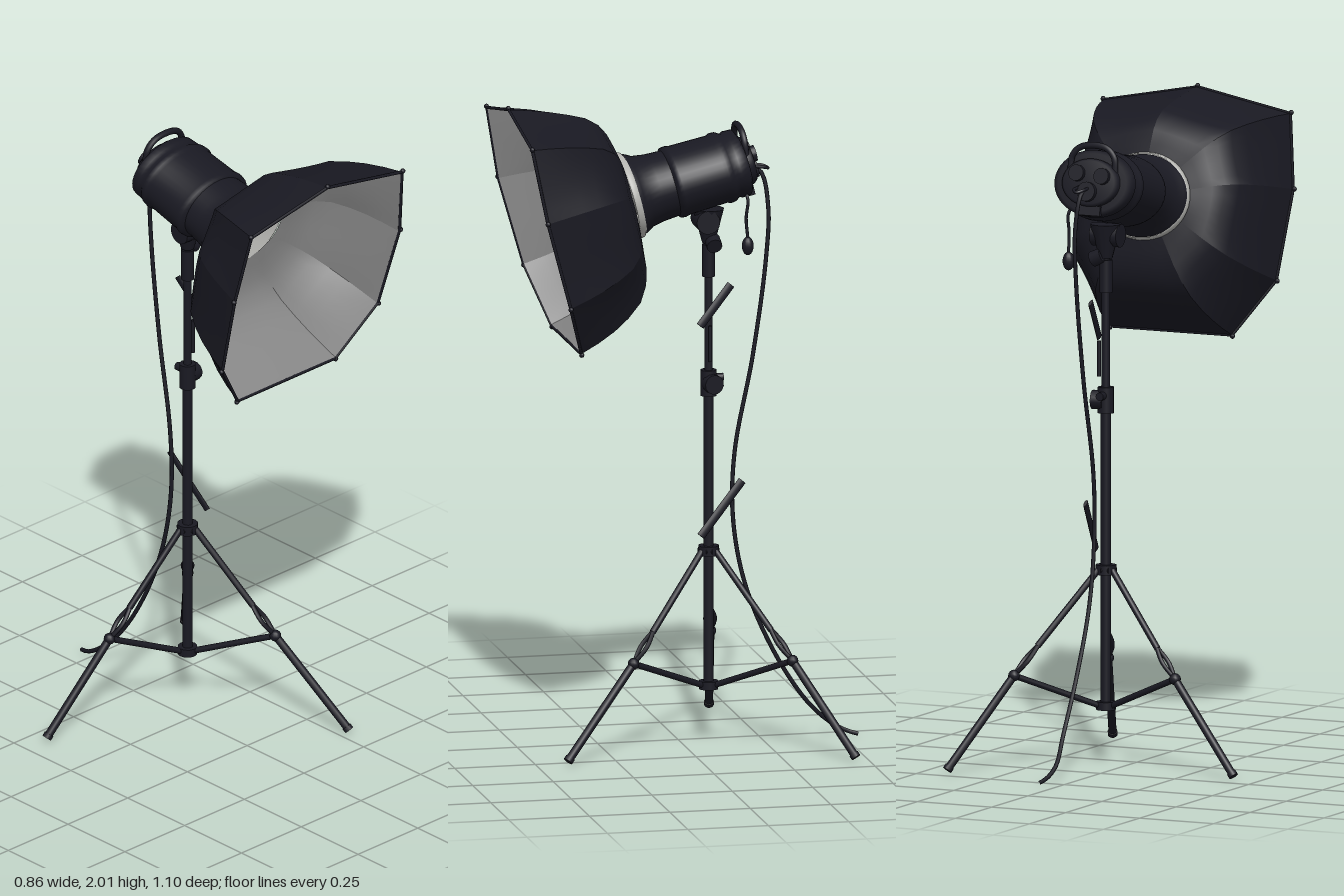
import * as THREE from 'three';

const V = (x, y, z) => new THREE.Vector3(x, y, z);

export function createModel() {
  const model = new THREE.Group();
  const mat = (name, color) => {
    const m = new THREE.MeshStandardMaterial({ color });
    m.name = name;
    return m;
  };
  const black = mat('charcoal black', 0x191922);
  const silver = mat('silver fabric', 0x858585);
  const light = mat('pale reflector', 0xb4b4b0);
  light.side = THREE.DoubleSide;

  const add = (name, geo, material = black, parent = model) => {
    const mesh = new THREE.Mesh(geo, material);
    mesh.name = name;
    parent.add(mesh);
    return mesh;
  };
  // Cylinder between two points
  const rod = (name, a, b, r, r2 = r, sides = 12) => {
    const d = b.clone().sub(a);
    const m = add(name, new THREE.CylinderGeometry(r2, r, d.length(), sides));
    m.position.copy(a).add(b).multiplyScalar(0.5);
    m.quaternion.setFromUnitVectors(V(0, 1, 0), d.normalize());
    return m;
  };
  const tube = (name, pts, r, parent = model) =>
    add(name, new THREE.TubeGeometry(new THREE.CatmullRomCurve3(pts), 80, r, 8), black, parent);

  // ---- Stand: pole, collars and clamp ----
  const PX = 0.065, PZ = -0.08;
  const P = (y) => V(PX, y, PZ);
  rod('lowerPole', P(0.18), P(1.12), 0.016);
  rod('upperPole', P(1.1), P(1.62), 0.013);
  rod('upperHub', P(0.585), P(0.615), 0.032);
  rod('lowerHub', P(0.17), P(0.195), 0.03);
  rod('poleClamp', P(1.08), P(1.16), 0.025);
  rod('clampKnob', V(0.07, 1.12, -0.085), V(0.105, 1.12, -0.09), 0.03);
  rod('clampScrew', V(0.065, 1.135, -0.09), V(0.065, 1.135, -0.125), 0.013);
  rod('poleSocket', P(1.45), P(1.55), 0.02);
  rod('tiltMount', P(1.555), P(1.66), 0.02, 0.048);
  rod('tiltPivot', V(0.02, 1.625, -0.07), V(0.11, 1.625, -0.07), 0.036, 0.036, 20);
  rod('tiltKnob', V(0.07, 1.565, -0.09), V(0.105, 1.55, -0.09), 0.024);
  rod('smallStub', V(0.088, 1.19, PZ), V(0.088, 1.3, PZ), 0.006);

  // Slanting cable straps beside the pole
  for (const [a, b] of [
    [V(0.115, 0.655, -0.045), V(0.085, 0.815, -0.18)],
    [V(0.105, 1.305, -0.045), V(0.085, 1.425, -0.145)],
  ]) rod('cableStrap', a, b, 0.013).scale.x = 0.4;

  // ---- Tripod legs with forks and braces: [foot, joint] ----
  const legs = [
    [V(-0.42, 0.013, -0.19), V(-0.2, 0.29, -0.145)],
    [V(0.415, 0.013, -0.46), V(0.27, 0.29, -0.295)],
    [V(0.28, 0.013, 0.405), V(0.185, 0.285, 0.18)],
  ];
  for (const [foot, joint] of legs) {
    const out = V(foot.x - PX, 0, foot.z - PZ).normalize();
    const side = V(-out.z, 0, out.x);
    const top = P(0.6).addScaledVector(out, 0.025);
    const upper = (t) => top.clone().lerp(joint, t);
    rod('upperLeg', top, upper(0.72), 0.01);
    rod('lowerLeg', joint, foot, 0.0125);
    rod('foot', joint.clone().lerp(foot, 0.96), foot, 0.015);
    for (const s of [-1, 1]) {
      tube('legFork', [upper(0.7), upper(0.85).addScaledVector(side, s * 0.014), joint], 0.007);
      rod('hubLug', P(0.6).addScaledVector(side, s * 0.012), top.clone().addScaledVector(side, s * 0.012), 0.011);
    }
    add('legJoint', new THREE.SphereGeometry(0.018, 12, 8)).position.copy(joint);
    rod('brace', P(0.183).addScaledVector(out, 0.02), joint, 0.0095);
  }

  // ---- Lamp head, local +z points along the beam ----
  const CX = 0.06;
  const ringC = V(CX, 1.712, 0.165);
  const head = new THREE.Group();
  head.name = 'lampHead';
  head.position.copy(ringC);
  head.rotation.x = 0.245;
  model.add(head);
  const lathe = (name, pts, squash, material = black) => {
    const g = new THREE.LatheGeometry(pts.map(([r, z]) => new THREE.Vector2(r, z)), 40);
    g.rotateX(Math.PI / 2).scale(1, squash, 1);
    return add(name, g, material, head);
  };
  lathe('lampBody', [[0, -0.362], [0.115, -0.362], [0.13, -0.355], [0.132, -0.33], [0.126, -0.32],
    [0.138, -0.305], [0.14, -0.29], [0.134, -0.28], [0.137, -0.16], [0.141, -0.145], [0.139, -0.132], [0.12, -0.125]], 0.78);
  lathe('lampNeck', [[0.12, -0.14], [0.124, -0.08], [0.132, -0.04], [0.146, -0.02], [0.151, -0.007]], 0.84);
  lathe('mountRing', [[0.148, -0.009], [0.153, -0.005], [0.155, 0.008], [0.151, 0.014]], 0.87, light);
  // Shallow dish with a raised inner lip around the bulb
  lathe('reflectorDish', [[0, -0.03], [0.085, -0.03], [0.1, -0.024], [0.105, -0.01], [0.112, -0.008], [0.152, 0.014]], 0.88, light);
  const bulb = add('bulb', new THREE.SphereGeometry(0.068, 24, 16), silver, head);
  bulb.scale.z = 0.5;
  bulb.position.z = -0.02;

  // Back panel, dials and carrying handle
  lathe('backPanel', [[0, -0.385], [0.085, -0.385], [0.095, -0.375], [0.095, -0.355]], 0.77);
  for (const [x, y, r] of [[-0.045, 0.02, 0.025], [0.04, 0.025, 0.025], [0, -0.03, 0.03]]) {
    const dial = add('dial', new THREE.CylinderGeometry(r, r, 0.02, 16), black, head);
    dial.rotation.x = Math.PI / 2;
    dial.position.set(x, y, -0.39);
  }
  tube('carryHandle', [V(-0.075, 0.03, -0.365), V(-0.07, 0.08, -0.372), V(-0.04, 0.108, -0.375),
    V(0.04, 0.108, -0.375), V(0.07, 0.08, -0.372), V(0.075, 0.03, -0.365)], 0.01, head);
  const lug = add('lowerLug', new THREE.BoxGeometry(0.08, 0.03, 0.02), black, head);
  lug.position.set(0, -0.085, -0.36);

  // Hanging plug on a short cord
  tube('plugCord', [V(0.12, 1.74, -0.17), V(0.14, 1.7, -0.185), V(0.14, 1.64, -0.18), V(0.14, 1.58, -0.185)], 0.005);
  const plug = add('hangingPlug', new THREE.SphereGeometry(0.018, 14, 10));
  plug.scale.y = 1.6;
  plug.position.set(0.14, 1.555, -0.185);

  // ---- Power cable and its loop at the socket ----
  tube('powerCable', [V(0.07, 1.79, -0.2), V(0.072, 1.77, -0.24), V(0.08, 1.66, -0.262), V(0.08, 1.5, -0.255),
    V(0.075, 1.2, -0.215), V(0.068, 0.9, -0.16), V(0.068, 0.7, -0.155), V(0.068, 0.5, -0.19), V(0.07, 0.3, -0.27),
    V(0.065, 0.13, -0.375), V(0.05, 0.05, -0.455), V(0.055, 0.018, -0.51), V(0.065, 0.008, -0.545)], 0.0065);
  tube('cableLoop', [V(0.055, 1.79, -0.21), V(0.06, 1.785, -0.25), V(0.075, 1.78, -0.262), V(0.09, 1.785, -0.25), V(0.09, 1.79, -0.21)], 0.005);

  // ---- Softbox: nine panels swept from the mount ring to the rim ----
  const half = [[0.315, 1.935, 0.537], [0.345, 1.71, 0.495], [0.325, 1.44, 0.42], [0.205, 1.272, 0.36]];
  const rim = [V(CX, 1.995, 0.54),
    ...half.map(([x, y, z]) => V(CX + x, y, z)),
    ...half.slice().reverse().map(([x, y, z]) => V(CX - x, y, z))];
  const rimC = V(CX, 1.635, 0.4525);
  // [distance along the beam, spread towards the rim]
  const profile = [[0.03, 0], [0.05, 0.15], [0.08, 0.34], [0.14, 0.51], [0.25, 0.67], [0.42, 0.79], [0.6, 0.88], [0.8, 0.95], [1, 1]];
  const COLS = 6;
  // The cloth sags at the top and between ribs; the lining sits just inside
  const skinPoint = (p, u, t, f, inside) => {
    const arm = p.clone().sub(rimC);
    const dir = arm.clone().normalize();
    const base = dir.clone().multiplyScalar(0.15).multiply(V(1, 0.88, 0.88));
    const bow = Math.sin(Math.PI * Math.sqrt(t));
    const sag = f * bow * (0.13 * Math.max(0, dir.y) + 0.16 * u * (1 - u));
    const along = inside ? t + 0.02 * (1 - t) : t;
    return ringC.clone().lerp(rimC, along).add(base.lerp(arm, f - sag)).addScaledVector(dir, inside ? -0.006 : 0);
  };
  const panel = (a, b, inside) => {
    const pos = [], idx = [];
    profile.forEach(([t, f], i) => {
      for (let j = 0; j <= COLS; j++) {
        pos.push(...skinPoint(a.clone().lerp(b, j / COLS), j / COLS, t, f, inside).toArray());
        if (i === profile.length - 1 || j === COLS) continue;
        const k = i * (COLS + 1) + j, n = k + COLS + 1;
        if (inside) idx.push(k, k + 1, n, n, k + 1, n + 1);
        else idx.push(k, n, k + 1, n, n + 1, k + 1);
      }
    });
    const g = new THREE.BufferGeometry();
    g.setAttribute('position', new THREE.Float32BufferAttribute(pos, 3));
    g.setIndex(idx);
    g.computeVertexNormals();
    return g;
  };
  rim.forEach((a, i) => {
    const b = rim[(i + 1) % rim.length];
    add('softboxOuterPanel', panel(a, b, false), black);
    add('softboxLining', panel(a, b, true), silver);
    rod('rimEdge', a, b, 0.005, 0.005, 6);
    // Rib tip poking past the rim
    const tip = a.clone().sub(rimC).normalize().multiplyScalar(0.004).add(a);
    add('ribTip', new THREE.SphereGeometry(0.008, 8, 6)).position.copy(tip);
  });

  return model;
}
